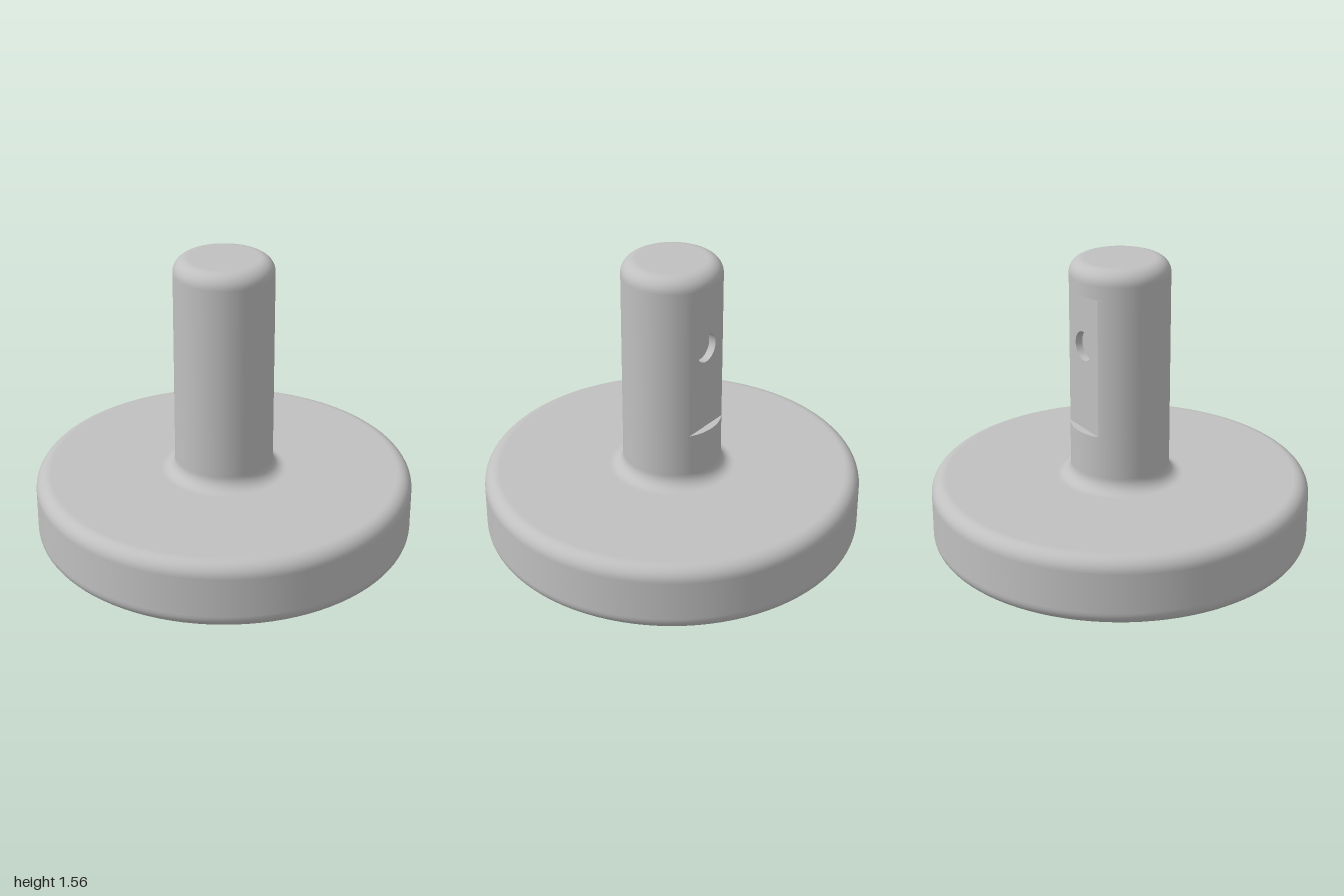
import * as THREE from 'three';

const SEG = 96;
const R = 0.26;                    // shaft radius
const FLAT_Z = 0.22;               // distance of the milled flat from the axis
const FLAT_LOW = 0.67, FLAT_HIGH = 1.41;
const HOLE_Y = 1.125, HOLE_R = 0.077, HOLE_DEPTH = 0.04;
const HALF_ANGLE = Math.acos(FLAT_Z / R);

// Rounded corner of a profile; a tiny lead-in and lead-out keep the neighbouring faces flat.
function corner(cx, cy, r, fromDeg, toDeg, steps = 12) {
  const a0 = THREE.MathUtils.degToRad(fromDeg), a1 = THREE.MathUtils.degToRad(toDeg);
  const at = (a) => new THREE.Vector2(cx + r * Math.cos(a), cy + r * Math.sin(a));
  const lead = (a, s) => at(a).add(
    new THREE.Vector2(-Math.sin(a), Math.cos(a)).multiplyScalar(s * Math.sign(a1 - a0) * 0.003));
  const pts = [lead(a0, -1)];
  for (let i = 0; i <= steps; i++) pts.push(at(a0 + (a1 - a0) * i / steps));
  pts.push(lead(a1, 1));
  return pts;
}

const point = (x, y) => new THREE.Vector2(x, y);
const lathe = (pts) => new THREE.LatheGeometry(pts, SEG);

export function createModel() {
  const group = new THREE.Group();
  const steel = new THREE.MeshStandardMaterial({ color: 0xc0c0c0 });
  steel.name = 'plain grey metal';

  const add = (name, geometry, x = 0, y = 0, z = 0) => {
    const mesh = new THREE.Mesh(geometry, steel);
    mesh.name = name;
    mesh.position.set(x, y, z);
    group.add(mesh);
  };

  // Disc with recessed underside, rounded rims and a fillet into the lower shaft
  add('baseDisc', lathe([
    point(0, 0.22),
    ...corner(0.27, 0.15, 0.07, 90, 0),
    ...corner(0.41, 0.07, 0.07, 180, 270),
    ...corner(0.925, 0.075, 0.075, -90, 0),
    ...corner(0.925, 0.295, 0.075, 0, 90),
    ...corner(R + 0.07, 0.44, 0.07, 270, 180),
    point(R, FLAT_LOW),
  ]));

  // Rounded shaft end above the flat
  add('shaftTop', lathe([
    point(R, FLAT_HIGH),
    ...corner(R - 0.075, 1.485, 0.075, 0, 90),
    point(0, 1.56),
  ]));

  // Round part of the shaft beside the flat
  const height = FLAT_HIGH - FLAT_LOW;
  add('shaftMiddle', new THREE.CylinderGeometry(R, R, height, SEG, 1, true,
    HALF_ANGLE - Math.PI, 2 * (Math.PI - HALF_ANGLE)), 0, (FLAT_LOW + FLAT_HIGH) / 2, 0);

  // Milled flat on the back, pierced by the round hole
  const w = R * Math.sin(HALF_ANGLE);
  const flat = new THREE.Shape([
    point(-w, FLAT_LOW), point(w, FLAT_LOW), point(w, FLAT_HIGH), point(-w, FLAT_HIGH)]);
  flat.holes.push(new THREE.Path().absarc(0, HOLE_Y, HOLE_R, 0, Math.PI * 2, true));
  add('shaftFlat', new THREE.ShapeGeometry(flat, 24).rotateY(Math.PI), 0, 0, -FLAT_Z);

  // Ledges at both ends of the flat
  for (const [name, side, y] of [['lowerLedge', 1, FLAT_LOW], ['upperLedge', -1, FLAT_HIGH]]) {
    const mid = side * Math.PI / 2;
    const ledge = new THREE.Shape().absarc(0, 0, R, mid - HALF_ANGLE, mid + HALF_ANGLE, false);
    add(name, new THREE.ShapeGeometry(ledge, 24).rotateX(-mid), 0, y, 0);
  }

  // Shallow blind hole
  add('holeWall', new THREE.LatheGeometry([point(HOLE_R, 0), point(HOLE_R, -HOLE_DEPTH)], 48)
    .rotateX(-Math.PI / 2), 0, HOLE_Y, -FLAT_Z);
  add('holeFloor', new THREE.CircleGeometry(HOLE_R, 48).rotateY(Math.PI),
    0, HOLE_Y, HOLE_DEPTH - FLAT_Z);

  return group;
}
